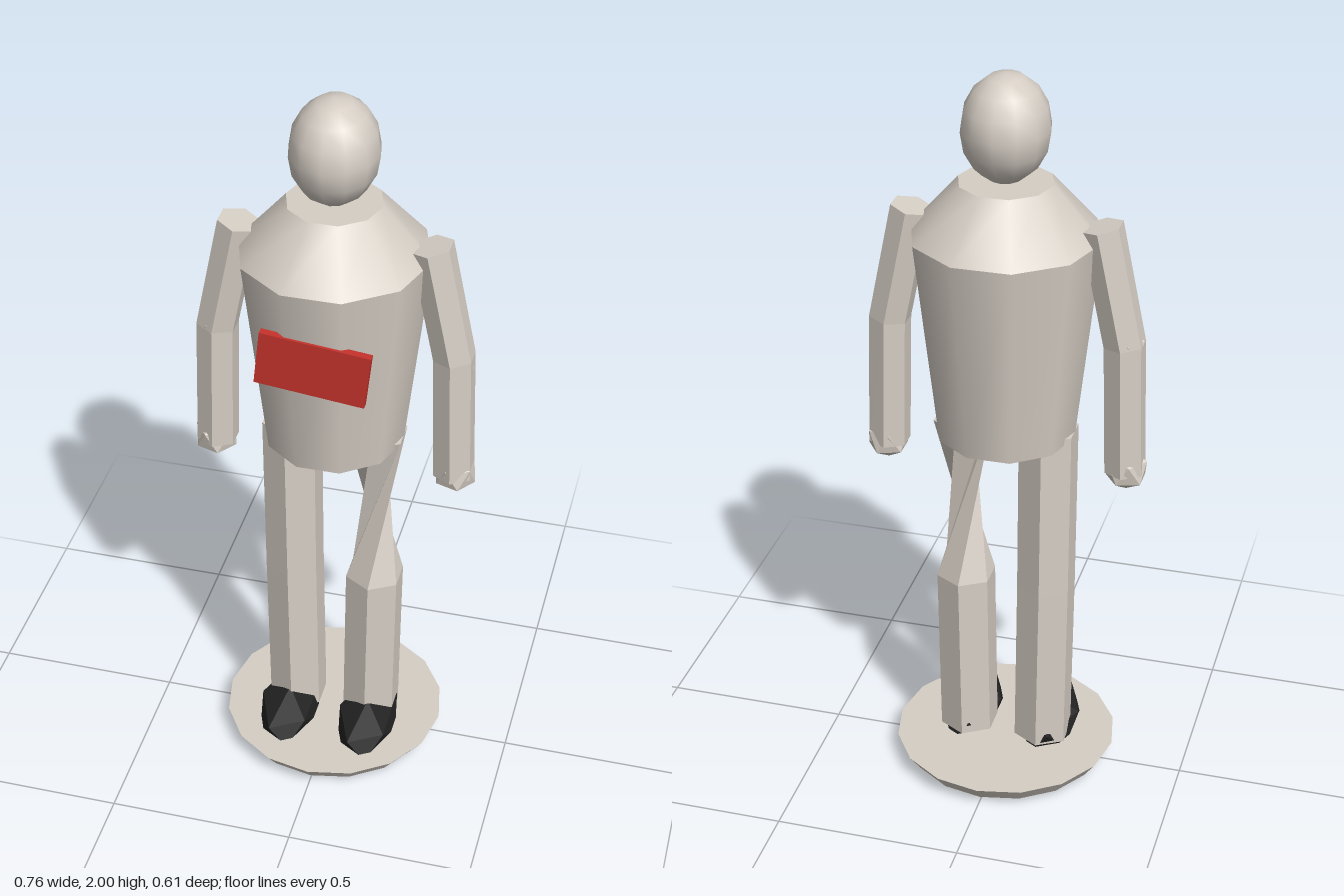
import * as THREE from 'three';

const mat = (name, color) => {
  const m = new THREE.MeshStandardMaterial({ color });
  m.name = name;
  return m;
};

// Closed six-sided limb through rings [x, y, twist], listed from bottom to top
function limbGeometry(rings, radius) {
  const n = 6, pos = [];
  const centres = rings.map(([x, y]) => new THREE.Vector3(x, y, 0));
  const loops = rings.map(([, , twist = 0], k) => {
    const t = centres[Math.min(k + 1, rings.length - 1)].clone()
      .sub(centres[Math.max(k - 1, 0)]).normalize();
    const side = new THREE.Vector3(t.y, -t.x, 0);
    return Array.from({ length: n }, (_, i) => {
      const a = (i / n) * Math.PI * 2 + twist;
      return centres[k].clone().addScaledVector(side, radius * Math.sin(a))
        .add(new THREE.Vector3(0, 0, radius * Math.cos(a)));
    });
  });
  const tri = (...p) => p.forEach((v) => pos.push(v.x, v.y, v.z));
  const last = rings.length - 1;
  for (let i = 0; i < n; i++) {
    const j = (i + 1) % n;
    for (let k = 0; k < last; k++) {
      const a = loops[k], b = loops[k + 1];
      tri(a[i], a[j], b[j]);
      tri(a[i], b[j], b[i]);
    }
    tri(centres[0], loops[0][j], loops[0][i]);
    tri(centres[last], loops[last][i], loops[last][j]);
  }
  const g = new THREE.BufferGeometry();
  g.setAttribute('position', new THREE.Float32BufferAttribute(pos, 3));
  g.computeVertexNormals();
  return g;
}

// Icosahedron standing on one corner, scaled on each axis
function gemGeometry(rx, ry, rz) {
  const g = new THREE.IcosahedronGeometry(1, 0);
  g.rotateZ(Math.atan(2 / (1 + Math.sqrt(5))));
  g.scale(rx, ry, rz);
  g.computeVertexNormals();
  return g;
}

export function createModel() {
  const model = new THREE.Group();
  model.name = 'standingFigure';
  const clay = mat('warmGrey', 0xd6cec5);
  clay.side = THREE.DoubleSide;
  const red = mat('red', 0xc4322b);
  const black = mat('black', 0x222222);

  const add = (name, geometry, material, x = 0, y = 0, z = 0) => {
    const m = new THREE.Mesh(geometry, material);
    m.name = name;
    m.position.set(x, y, z);
    model.add(m);
    return m;
  };

  // Round stand
  add('base', new THREE.CylinderGeometry(0.305, 0.273, 0.045, 16), clay, 0, 0.0375, 0);

  // Torso, sloping shoulders and head
  const turn = Math.PI / 10;
  add('torso', new THREE.CylinderGeometry(0.247, 0.184, 0.56, 10).rotateY(turn), clay, 0, 1.3, 0);
  add('shoulders', new THREE.CylinderGeometry(0.123, 0.247, 0.14, 10).rotateY(turn), clay, 0, 1.65, 0);
  add('head', new THREE.SphereGeometry(1, 12, 8).scale(0.114, 0.14, 0.13), clay, 0, 1.86, 0);

  // Tilted chest panel
  add('chestPanel', new THREE.BoxGeometry(0.283, 0.15, 0.021), red, 0, 1.367, 0.217)
    .rotation.z = -0.11;

  for (const s of [-1, 1]) {
    const side = s > 0 ? 'left' : 'right';
    // Arm with elbow and hand
    add(side + 'Arm', limbGeometry(
      [[s * 0.32, 0.945], [s * 0.31, 1.31], [s * 0.245, 1.625]], 0.056), clay);
    add(side + 'Elbow', gemGeometry(0.054, 0.054, 0.054), clay, s * 0.313, 1.3, 0);
    add(side + 'Hand', gemGeometry(0.06, 0.06, 0.06), clay, s * 0.324, 0.95, 0);

    // Leg; the left thigh is wrung through a third of a turn
    const twist = s > 0 ? Math.PI * 2 / 3 : 0;
    add(side + 'Leg', limbGeometry(
      [[s * 0.106, 0.07], [s * 0.112, 0.56], [s * 0.115, 1.04, twist]], 0.081), clay);

    // Shoe
    add(side + 'Shoe', gemGeometry(0.09, 0.068, 0.165), black, s * 0.113, 0.07, 0.066);
  }
  return model;
}
